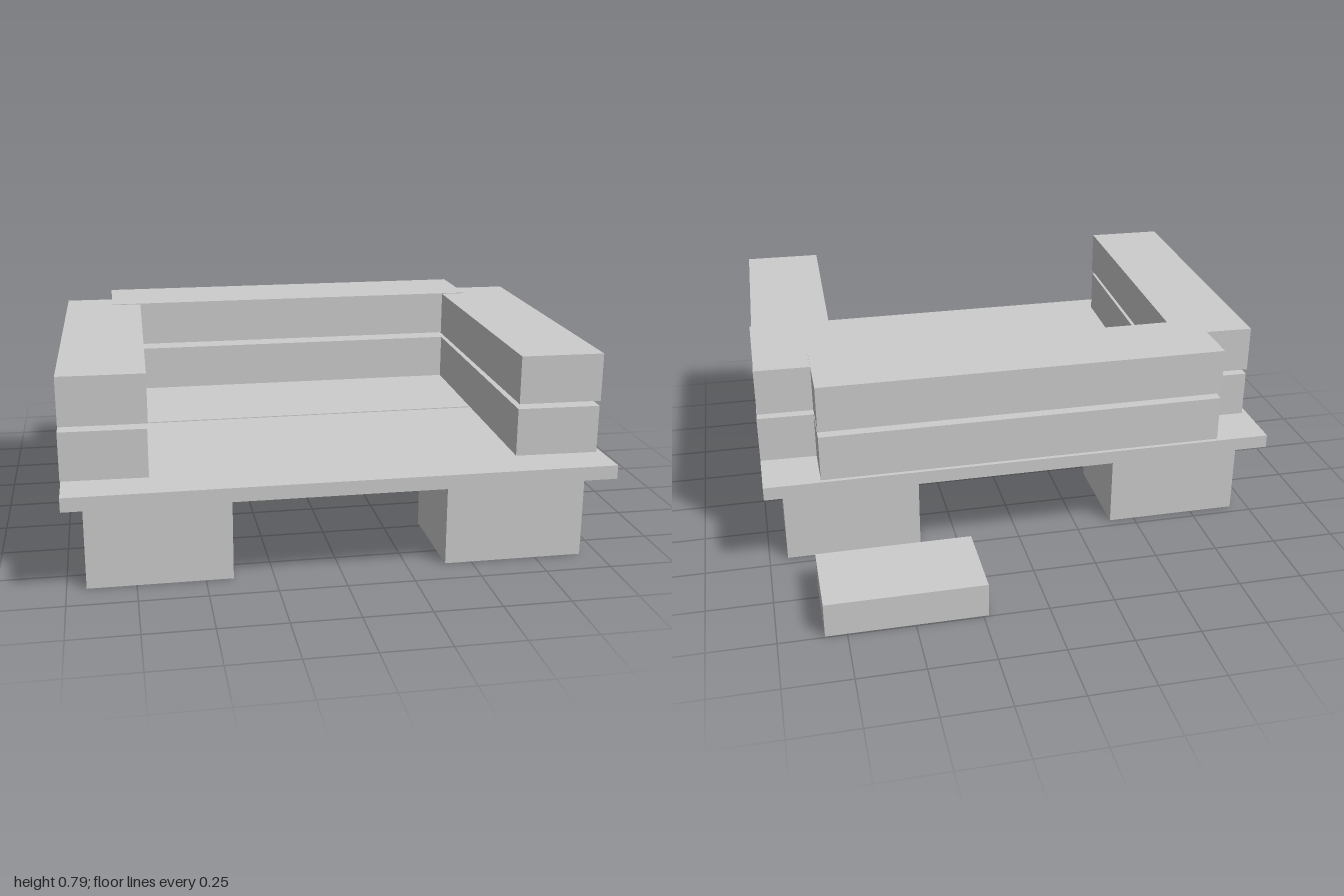
import * as THREE from 'three';

export function createModel() {
  const group = new THREE.Group();
  const stone = new THREE.MeshStandardMaterial({ color: 0xcccccc });
  stone.name = 'light grey';

  // Box given by its size, centre and turn about the vertical axis
  function block(name, [w, h, d], [x, y, z], turn = 0) {
    const mesh = new THREE.Mesh(new THREE.BoxGeometry(w, h, d), stone);
    mesh.name = name;
    mesh.position.set(x, y, z);
    mesh.rotation.y = turn;
    group.add(mesh);
  }

  // Four square legs
  for (const x of [-0.664, 0.664]) {
    block('frontLeg', [0.53, 0.345, 0.4], [x, 0.1725, 0.67]);
    block('backLeg', [0.53, 0.345, 0.4], [x, 0.1725, -0.26]);
  }

  // Two seat slabs with a narrow gap between them
  block('frontSeatSlab', [2, 0.052, 0.787], [0, 0.374, 0.603]);
  block('backSeatSlab', [2, 0.052, 0.787], [0, 0.374, -0.195]);

  // Two courses of beams: a straight back and slightly skewed arms
  const courses = [
    { y: 0.5, backY: 0.5, turn: -0.025 },
    { y: 0.699, backY: 0.702, turn: -0.02 },
  ];
  for (const { y, backY, turn } of courses) {
    block('backBeam', [1.57, 0.18, 0.32], [0, backY, -0.43]);
    block('rightArmBeam', [0.31, 0.18, 1.26], [-0.831, y, 0.235], turn);
    block('leftArmBeam', [0.31, 0.18, 1.26], [0.829, y, 0.235], turn);
  }

  // Low step behind the bench
  block('step', [0.6, 0.135, 0.332], [0.53, 0.0675, -0.829]);

  return group;
}
